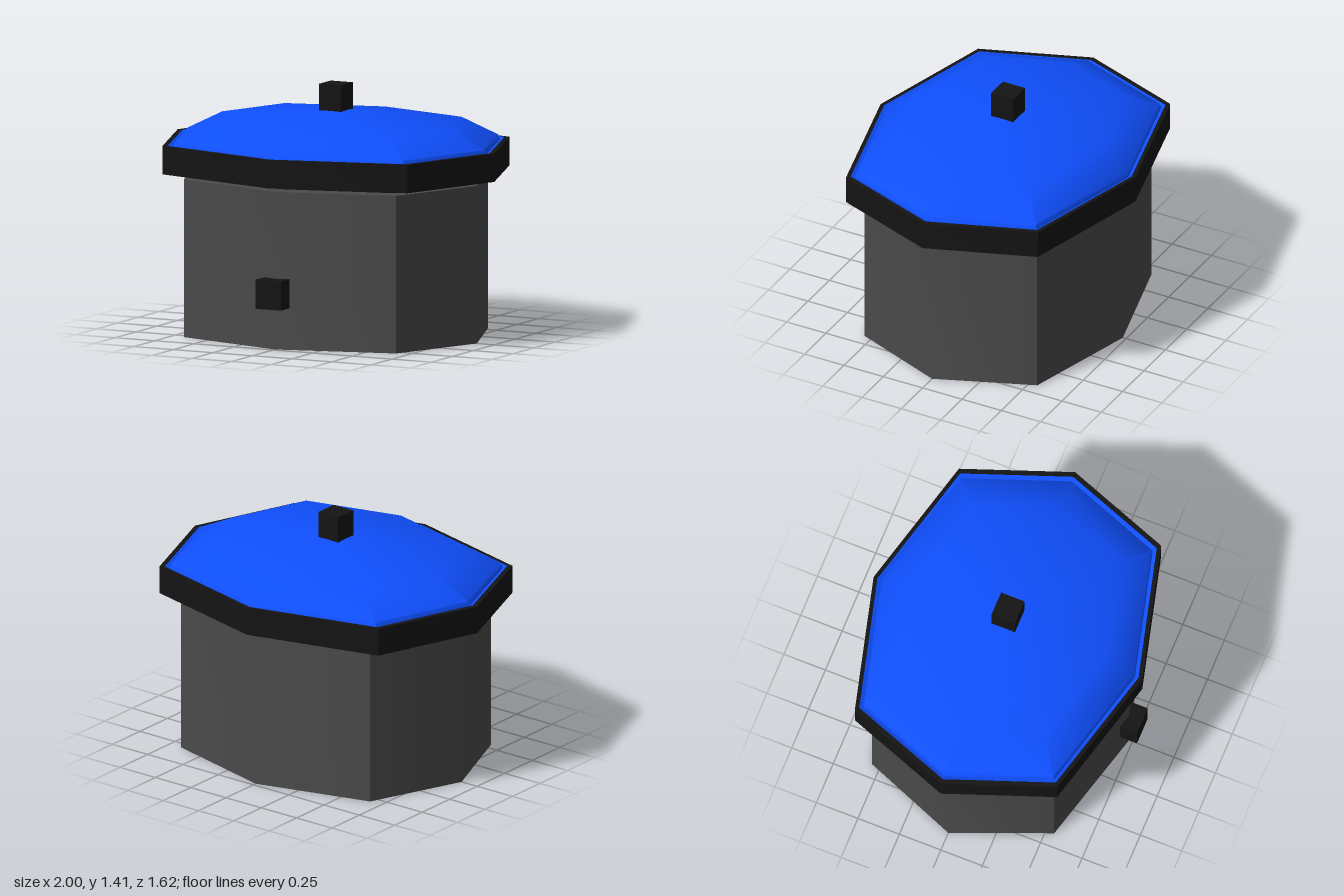
import * as THREE from 'three';
import { toCreasedNormals } from 'three/addons/utils/BufferGeometryUtils.js';

const BODY = new THREE.MeshStandardMaterial({ color: 0x4a4a4a });
const BLACK = new THREE.MeshStandardMaterial({ color: 0x141414 });
const BLUE = new THREE.MeshStandardMaterial({ color: 0x0f4fff });

// Stretched octagon at [half width x, half depth z, height y]; kx, kz place the diagonal corners
function octagon([rx, rz, y], kx, kz) {
  const unit = [[1, 0], [kx, kz], [0, 1], [-kx, kz], [-1, 0], [-kx, -kz], [0, -1], [kx, -kz]];
  return unit.map(([x, z]) => new THREE.Vector3(x * rx, y, z * rz));
}

// Skins octagonal sections in order; a section of zero size closes to a point
function loft(name, material, sections, kx = 0.753, kz = 0.753) {
  const rings = sections.map((s) => octagon(s, kx, kz));
  const pos = [];
  const tri = (...pts) => pts.forEach((p) => pos.push(p.x, p.y, p.z));
  for (let j = 0; j < rings.length - 1; j++) {
    for (let i = 0; i < 8; i++) {
      const n = (i + 1) % 8;
      const lo = rings[j], hi = rings[j + 1];
      if (sections[j + 1][0] > 0) tri(lo[i], hi[i], hi[n]);
      if (sections[j][0] > 0) tri(lo[i], hi[n], lo[n]);
      if (sections[j][0] > 0 && sections[j + 1][0] === 0) {
        pos.length -= 9;
        tri(lo[i], hi[i], lo[n]);
      }
    }
  }
  const geometry = new THREE.BufferGeometry();
  geometry.setAttribute('position', new THREE.Float32BufferAttribute(pos, 3));
  const mesh = new THREE.Mesh(toCreasedNormals(geometry, 0.84), material);
  mesh.name = name;
  return mesh;
}

function box(name, size, center) {
  const mesh = new THREE.Mesh(new THREE.BoxGeometry(...size), BLACK);
  mesh.position.set(...center);
  mesh.name = name;
  return mesh;
}

export function createModel() {
  const model = new THREE.Group();
  model.name = 'liddedPot';

  // Pot body, closed at the bottom and at the shoulder
  model.add(loft('body', BODY, [[0, 0, 0], [0.89, 0.73, 0], [0.89, 0.73, 0.89], [0, 0, 0.89]]));

  // Recessed neck between body and rim
  model.add(loft('neck', BLACK, [[0.79, 0.62, 0.885], [0.79, 0.62, 0.93]]));

  // Overhanging rim with a thin top edge
  model.add(loft('rim', BLACK, [
    [0, 0, 0.92], [1, 0.81, 0.92], [1, 0.81, 1.08], [0.97, 0.787, 1.08],
  ], 0.775, 0.753));

  // Shallow seat falling inward to the lid, then the faceted dome
  model.add(loft('lidSeat', BLUE, [[0.97, 0.787, 1.08], [0.945, 0.765, 1.068]], 0.775, 0.753));
  model.add(loft('lid', BLUE, [
    [0.945, 0.765, 1.068], [0.935, 0.757, 1.095], [0.72, 0.59, 1.2], [0, 0, 1.27],
  ], 0.775, 0.753));

  // Lid knob and front button
  model.add(box('knob', [0.14, 0.16, 0.14], [0, 1.33, 0]));
  model.add(box('button', [0.16, 0.165, 0.11], [0, 0.3175, 0.755]));

  return model;
}
